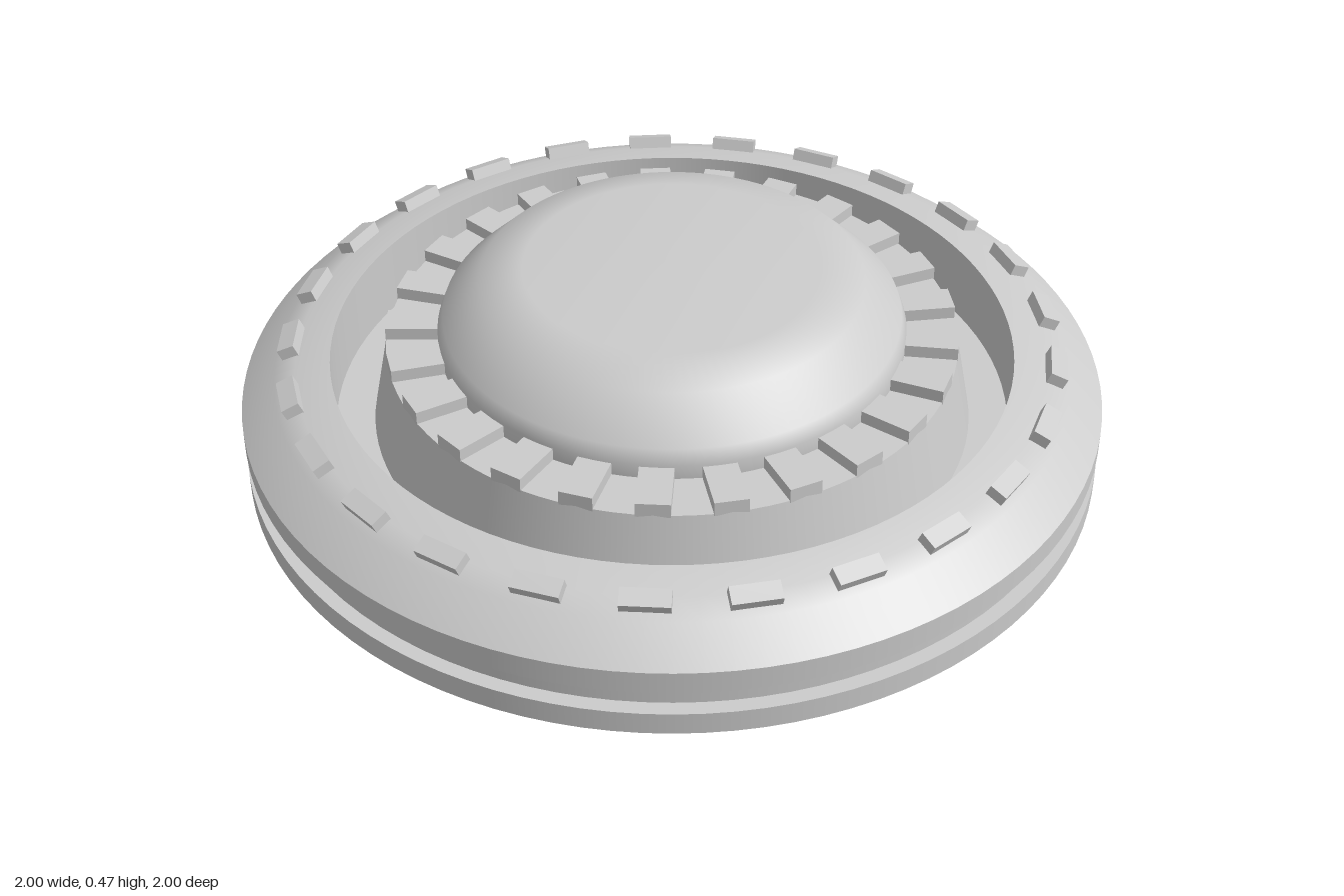
import * as THREE from 'three';

const material = new THREE.MeshStandardMaterial({ color: 0xcccccc });
const COUNT = 25;

// Revolves each run of [radius, height] points; runs meet at hard edges.
function turned(name, runs) {
  const group = new THREE.Group();
  group.name = name;
  for (const run of runs) {
    const points = run.map(([r, y]) => new THREE.Vector2(r, y));
    const mesh = new THREE.Mesh(new THREE.LatheGeometry(points, 100), material);
    mesh.name = name + 'Surface';
    group.add(mesh);
  }
  return group;
}

// Splits a profile into one hard-edged run per segment.
const hard = (pts) => pts.slice(1).map((p, i) => [pts[i], p]);

// Evenly spaced blocks around the axis, first one on +x.
function blockRing(name, [radial, height, width], radius, y, tilt) {
  const group = new THREE.Group();
  group.name = name + 'Ring';
  const geometry = new THREE.BoxGeometry(radial, height, width);
  geometry.rotateZ(tilt);
  geometry.translate(radius, y, 0);
  for (let i = 0; i < COUNT; i++) {
    const block = new THREE.Mesh(geometry, material);
    block.name = name;
    block.rotation.y = (i / COUNT) * Math.PI * 2;
    group.add(block);
  }
  return group;
}

export function createModel() {
  const model = new THREE.Group();
  model.name = 'domedDisc';

  // Base plate with the groove around its side
  model.add(turned('base', hard([
    [0, 0], [1, 0], [1, 0.055], [0.967, 0.055], [0.967, 0.115], [1, 0.115], [1, 0.17],
  ])));

  // Sloping rim, then the trench wall and floor
  model.add(turned('rim', [
    [[1, 0.17], [0.92, 0.235], [0.87, 0.256], [0.79, 0.27]],
    ...hard([[0.79, 0.27], [0.79, 0.09], [0.7, 0.09]]),
  ]));

  // Raised inner platform
  model.add(turned('platform', hard([[0.7, 0.09], [0.66, 0.29], [0.53, 0.29]])));

  // Central dome with a flattened top
  model.add(turned('dome', [
    [[0.54, 0.29], [0.54, 0.325], [0.527, 0.36], [0.44, 0.445], [0.34, 0.474], [0, 0.475]],
  ]));

  model.add(blockRing('outerBlock', [0.042, 0.04, 0.108], 0.885, 0.257, -0.4));
  model.add(blockRing('innerBlock', [0.13, 0.035, 0.076], 0.595, 0.3025, 0));
  return model;
}
